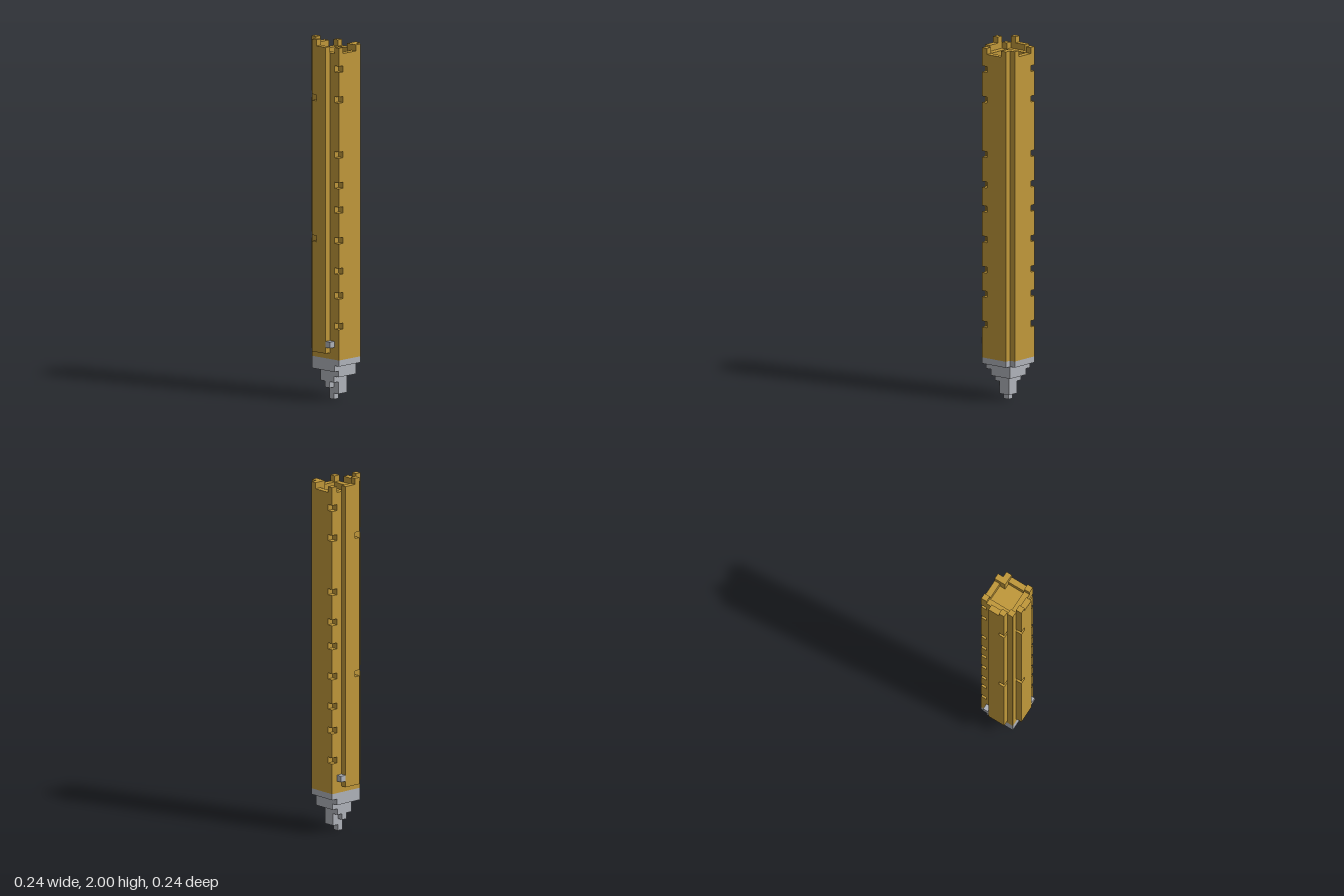
import * as THREE from 'three';

const S = 2 / 59; // one cube of the 7 x 59 x 7 block grid

export function createModel() {
  const group = new THREE.Group();
  const gold = new THREE.MeshStandardMaterial({ color: 0xc0983a });
  gold.name = 'gold';
  const grey = new THREE.MeshStandardMaterial({ color: 0xb0b3ba });
  grey.name = 'grey';

  // Box spanning inclusive grid cells: x i0..i1, z k0..k1, y j0..j1
  function box(name, mat, [i0, i1, k0, k1], j0, j1) {
    const g = new THREE.BoxGeometry((i1 - i0 + 1) * S, (j1 - j0 + 1) * S, (k1 - k0 + 1) * S);
    g.translate(((i0 + i1) / 2 - 3) * S, ((j0 + j1 + 1) / 2) * S, ((k0 + k1) / 2 - 3) * S);
    const mesh = new THREE.Mesh(g, mat);
    mesh.name = name;
    group.add(mesh);
  }

  // Same box on both sides of the diagonal symmetry plane
  function pair(name, mat, cells, j0, j1) {
    const [i0, i1, k0, k1] = cells;
    box(name, mat, cells, j0, j1);
    box(name, mat, [6 - k1, 6 - k0, 6 - i1, 6 - i0], j0, j1);
  }

  // Pair of upright strips broken by one-cube notches
  function notched(name, cells, j0, j1, notches) {
    let start = j0;
    for (const n of [...notches, j1 + 1]) {
      pair(name, gold, cells, start, n - 1);
      start = n + 1;
    }
  }

  // Shaft with a sunken top
  box('shaftCore', gold, [2, 5, 1, 4], 7, 55);
  pair('innerWall', gold, [2, 5, 5, 5], 7, 56);
  pair('outerWall', gold, [6, 6, 2, 4], 7, 56);
  pair('ridge', gold, [3, 4, 6, 6], 8, 57);
  box('frontCornerStrip', gold, [1, 1, 5, 5], 7, 57);
  pair('backCornerStrip', gold, [6, 6, 1, 1], 7, 57);
  box('cornerPost', gold, [5, 5, 1, 1], 56, 57);

  // Notched edges
  notched('notchedEdge', [6, 6, 5, 5], 7, 57, [12, 17, 21, 26, 31, 35, 40, 49, 54]);
  notched('tallEdge', [2, 2, 6, 6], 8, 58, [26, 49]);

  // Small studs low on the sides
  pair('stud', grey, [5, 5, 6, 6], 9, 9);

  // Stepped point
  box('tip', grey, [3, 3, 3, 3], 0, 0);
  box('pointLower', grey, [3, 4, 2, 3], 1, 2);
  pair('pointStep', grey, [2, 2, 3, 3], 2, 2);
  box('pointMiddle', grey, [2, 4, 2, 4], 3, 3);
  box('pointUpper', grey, [2, 5, 1, 4], 4, 4);
  box('pointCollar', grey, [1, 5, 1, 5], 5, 6);
  pair('pointFlange', grey, [6, 6, 1, 5], 6, 6);

  return group;
}
